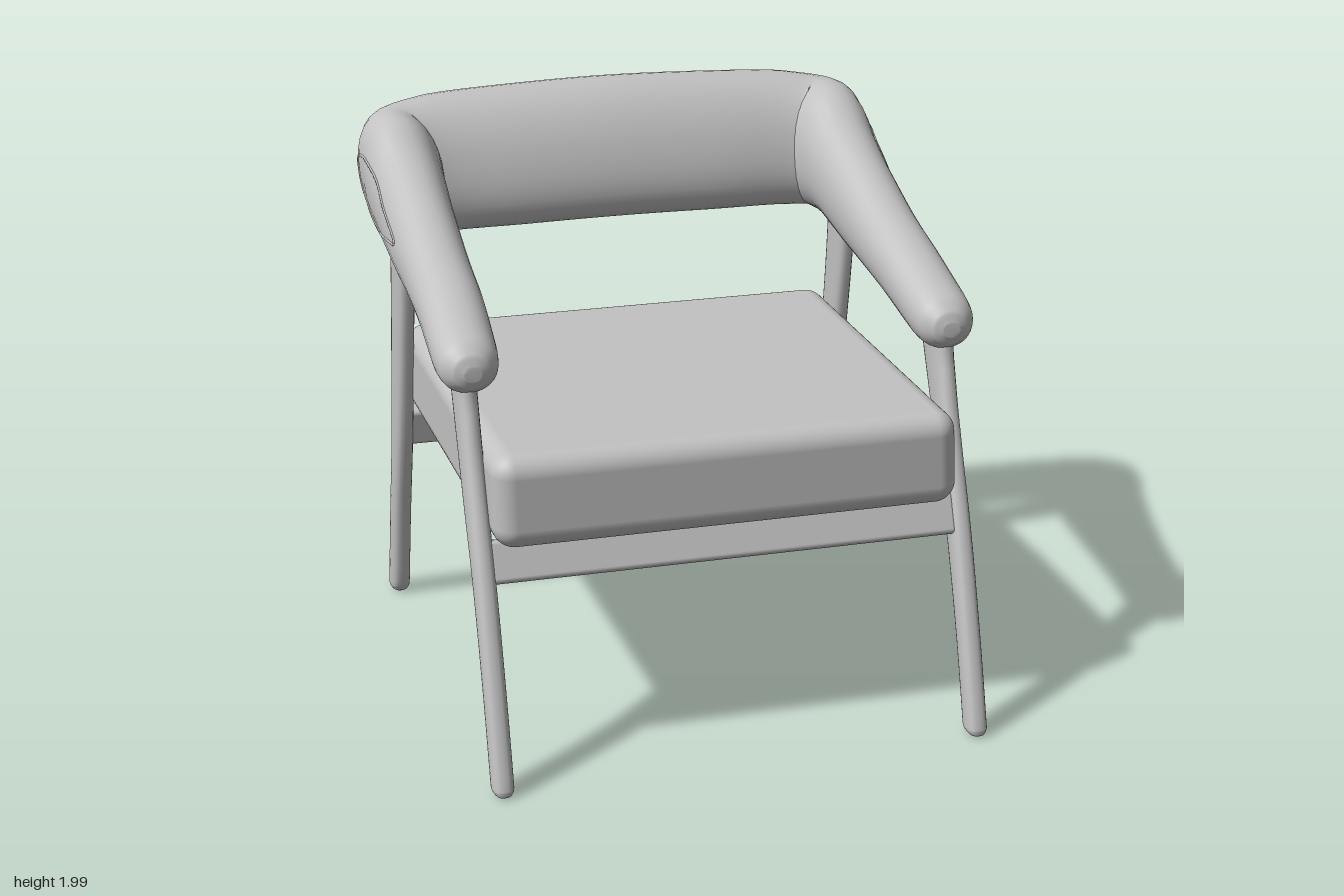
import * as THREE from 'three';
import { RoundedBoxGeometry } from 'three/addons/geometries/RoundedBoxGeometry.js';

const SIDES = 32;
const soft = (v, p) => Math.sign(v) * Math.pow(Math.abs(v), p);

// Skin a list of rings (arrays of Vector3), closing both ends
function loft(rings) {
  const n = rings[0].length, pos = [], idx = [];
  rings.forEach(r => r.forEach(p => pos.push(p.x, p.y, p.z)));
  for (let i = 0; i < rings.length - 1; i++) {
    for (let j = 0; j < n; j++) {
      const a = i * n + j, b = i * n + (j + 1) % n;
      idx.push(a, a + n, b, b, a + n, b + n);
    }
  }
  const last = (rings.length - 1) * n;
  for (let j = 1; j < n - 1; j++) {
    idx.push(0, j, j + 1, last, last + j + 1, last + j);
  }
  const g = new THREE.BufferGeometry();
  g.setAttribute('position', new THREE.Float32BufferAttribute(pos, 3));
  g.setIndex(idx);
  g.computeVertexNormals();
  return g;
}

// Armrest and backrest: one padded roll; x, y, z, half width, half height, outward lean
function rollGeometry() {
  const half = [
    [.845, 1.39, .592, .03, .025, 0],
    [.845, 1.393, .577, .065, .06, 0],
    [.845, 1.4, .53, .1, .092, 0],
    [.843, 1.417, .45, .11, .107, 0],
    [.833, 1.49, .2, .115, .12, 0],
    [.83, 1.535, 0, .117, .135, 0],
    [.828, 1.61, -.3, .127, .17, 0],
    [.826, 1.67, -.5, .138, .192, .02],
    [.82, 1.715, -.66, .148, .23, .08],
    [.792, 1.722, -.775, .16, .238, .18],
    [.68, 1.735, -.8, .15, .243, .26],
    [.35, 1.745, -.808, .15, .248, .3],
  ];
  const st = [...half, [0, 1.75, -.81, .15, .25, .3],
    ...half.slice().reverse().map(([x, ...r]) => [-x, ...r])];
  const path = new THREE.CatmullRomCurve3(st.map(s => new THREE.Vector3(s[0], s[1], s[2])));
  const size = new THREE.CatmullRomCurve3(
    st.map(s => new THREE.Vector3(s[3], s[4], s[5])), false, 'catmullrom', 0.4);
  const rings = [], steps = 144;
  for (let i = 0; i <= steps; i++) {
    const t = i / steps, c = path.getPoint(t), s = size.getPoint(t), d = path.getTangent(t);
    const out = new THREE.Vector3(-d.z, 0, d.x).normalize();
    const ring = [];
    for (let j = 0; j < SIDES; j++) {
      const a = j / SIDES * Math.PI * 2;
      const h = soft(Math.cos(a), .93) * s.x, v = soft(Math.sin(a), .93) * s.y;
      const p = c.clone().addScaledVector(out, h + v * s.z);
      p.y += v;
      ring.push(p);
    }
    rings.push(ring);
  }
  return loft(rings);
}

// Flat oval leg following points of y, z, half depth
function legGeometry(points) {
  const [y0, z0, r0] = points[0];
  const foot = [[y0, z0, r0 * .55, .45], [y0 + .008, z0, r0 * .82, .75], [y0 + .03, z0 - Math.sign(z0) * .005, r0, 1]];
  const all = [...foot, ...points.slice(1).map(p => [...p, 1])];
  const path = new THREE.CatmullRomCurve3(all.map(p => new THREE.Vector3(0, p[0], p[1])));
  const size = new THREE.CatmullRomCurve3(all.map(p => new THREE.Vector3(p[2], p[3], 0)));
  const rings = [];
  for (let i = 0; i <= 36; i++) {
    const c = path.getPoint(i / 36), s = size.getPoint(i / 36), ring = [];
    for (let j = 0; j < 24; j++) {
      const a = j / 24 * Math.PI * 2;
      ring.push(new THREE.Vector3(
        soft(Math.cos(a), .75) * .038 * s.y, c.y, c.z + soft(Math.sin(a), .85) * s.x));
    }
    rings.push(ring);
  }
  return loft(rings);
}

// Cushion with bowed front and back edges
function seatGeometry() {
  const g = new RoundedBoxGeometry(1.64, .325, 1.62, 6, .075);
  const p = g.attributes.position;
  for (let i = 0; i < p.count; i++) {
    const x = p.getX(i), z = p.getZ(i), y = p.getY(i);
    const edge = Math.pow(Math.abs(x) / .82, 3);
    const top = y > 0 && Math.abs(z) > .7 ? .02 : 0;
    p.setZ(i, z - Math.sign(z) * (.025 * edge + top));
  }
  return g;
}

export function createModel() {
  const group = new THREE.Group();
  const grey = new THREE.MeshStandardMaterial({ color: 0xc2c2c2 });
  grey.name = 'light grey';
  const add = (geometry, name, x = 0, y = 0, z = 0) => {
    const m = new THREE.Mesh(geometry, grey);
    m.name = name;
    m.position.set(x, y, z);
    group.add(m);
    return m;
  };

  const roll = add(rollGeometry(), 'armAndBackRoll');
  add(seatGeometry(), 'seatCushion', 0, .982, 0);

  // Legs and cross rails
  const front = legGeometry([[.01, .928, .052], [.35, .83, .053], [.7, .705, .062], [.9, .615, .075],
    [1.1, .53, .082], [1.3, .45, .1], [1.4, .41, .1]]);
  const rear = legGeometry([[.01, -.88, .052], [.35, -.805, .056], [.7, -.715, .066],
    [1, -.662, .08], [1.3, -.615, .09], [1.62, -.58, .1]]);
  for (const s of [1, -1]) {
    const side = s > 0 ? 'left' : 'right';
    add(front, side + 'FrontLeg', s * .848);
    add(rear, side + 'RearLeg', s * .848);
  }
  const rail = new RoundedBoxGeometry(1.66, .15, .075, 3, .018);
  add(rail, 'frontRail', 0, .755, .688).rotation.x = -.38;
  add(rail, 'rearRail', 0, .755, -.7).rotation.x = .22;

  // Teardrop seams laid on the outside of each arm (z, y)
  const outline = [[-.2, 1.62], [-.36, 1.69], [-.5, 1.765], [-.66, 1.81], [-.76, 1.79],
    [-.77, 1.73], [-.7, 1.655], [-.56, 1.605], [-.42, 1.595], [-.3, 1.605]];
  const ray = new THREE.Raycaster();
  roll.updateMatrixWorld();
  for (const s of [1, -1]) {
    const flat = new THREE.CatmullRomCurve3(
      outline.map(([z, y]) => new THREE.Vector3(0, y, z)), true);
    const pts = flat.getPoints(48).slice(0, -1).map(p => {
      ray.set(new THREE.Vector3(s * 2, p.y, p.z), new THREE.Vector3(-s, 0, 0));
      const hit = ray.intersectObject(roll)[0];
      return new THREE.Vector3(hit ? hit.point.x : s * .93, p.y, p.z);
    });
    add(new THREE.TubeGeometry(new THREE.CatmullRomCurve3(pts, true), 96, .005, 6, true),
      (s > 0 ? 'left' : 'right') + 'ArmSeam');
  }
  return group;
}
